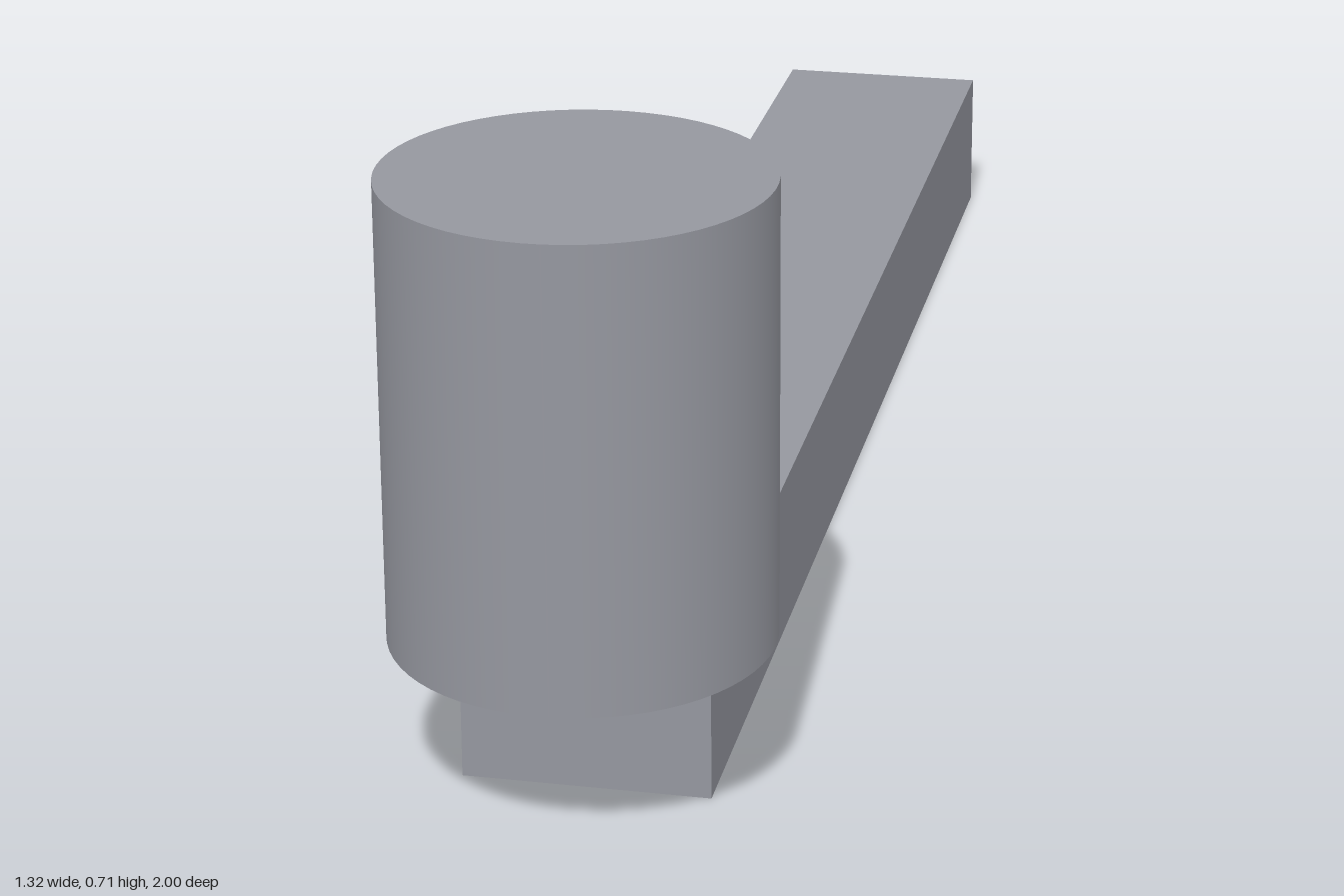
import * as THREE from 'three';

export function createModel() {
  const model = new THREE.Group();
  model.name = 'crankHandle';

  const grey = new THREE.MeshStandardMaterial({ color: 0x95979f });
  grey.name = 'grey';

  const armHeight = 0.19;
  const knobHeight = 0.52;
  const knobRadius = 0.212;

  // Long flat arm, swung 30 degrees about the vertical
  const arm = new THREE.Mesh(new THREE.BoxGeometry(0.28, armHeight, 1.985), grey);
  arm.name = 'arm';
  arm.position.set(-0.044, armHeight / 2, -0.07);
  arm.rotation.y = Math.PI / 6;
  model.add(arm);

  // Round grip standing on the front end of the arm
  const knob = new THREE.Mesh(
    new THREE.CylinderGeometry(knobRadius, knobRadius, knobHeight, 64), grey);
  knob.name = 'knob';
  knob.position.set(0.45, armHeight + knobHeight / 2, 0.788);
  model.add(knob);

  return model;
}
